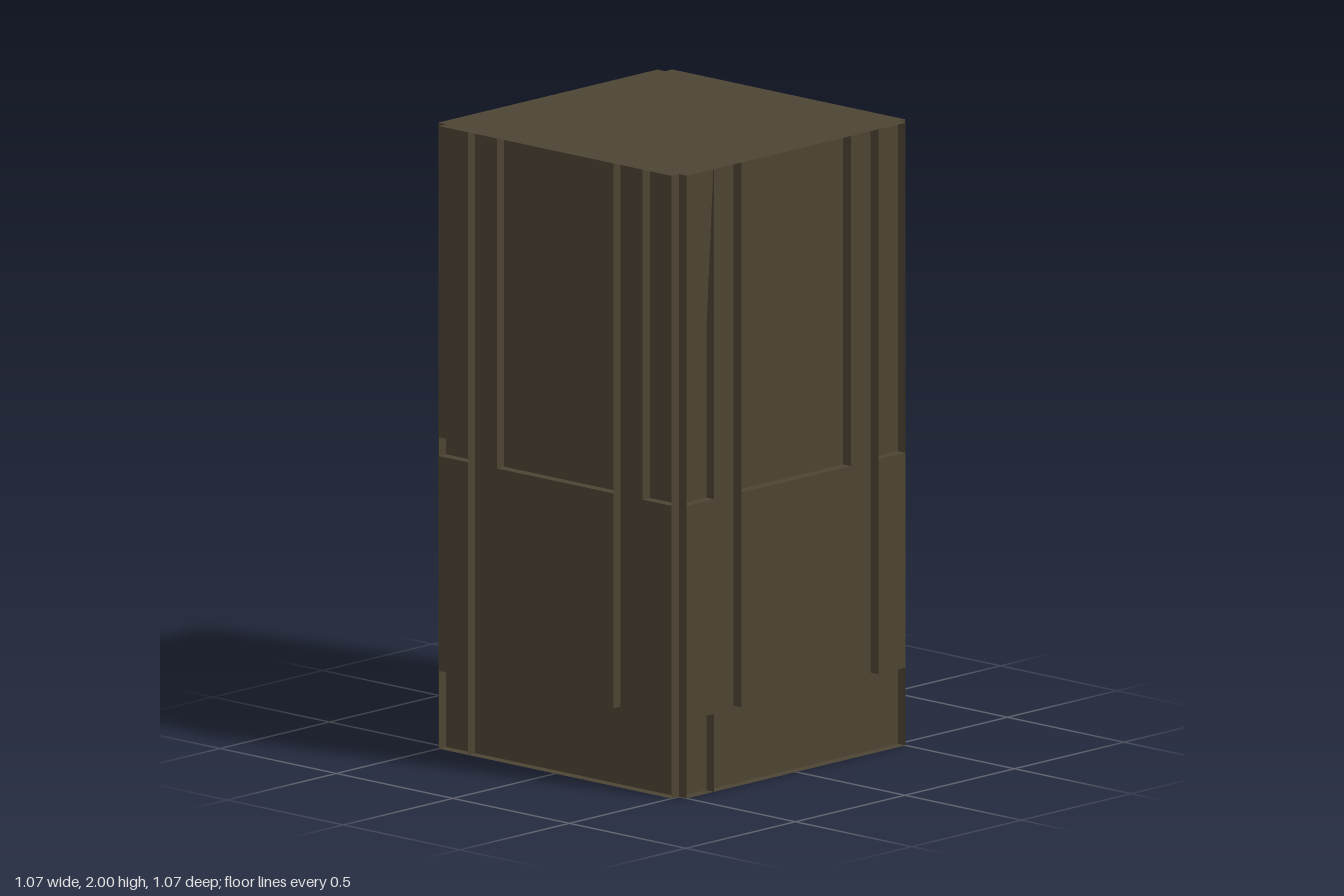
import * as THREE from 'three';

const CORE = 0.5;          // half width of the main block
const OUT = 0.533;         // half width to the face of the trim
const DEPTH = OUT - CORE;
const HEIGHT = 2;

const brown = new THREE.MeshStandardMaterial({ color: 0x4d4433 });
brown.name = 'darkBrown';
const brownThin = new THREE.MeshStandardMaterial({ color: 0x4d4433, side: THREE.DoubleSide });
brownThin.name = 'darkBrownThin';

function add(parent, name, geometry, material, x, y, z) {
  const mesh = new THREE.Mesh(geometry, material);
  mesh.name = name;
  mesh.position.set(x, y, z);
  parent.add(mesh);
  return mesh;
}

// Raised trim on one side of the block, built facing +z
function createSide() {
  const side = new THREE.Group();
  const mid = CORE + DEPTH / 2;

  // Lower panels: [left edge, right edge]
  const low = 0.25, high = 0.94;
  for (const [a, b] of [[-0.5, -0.375], [-0.25, 0.25], [0.375, 0.5]]) {
    add(side, 'lowerPanel', new THREE.BoxGeometry(b - a, high - low, DEPTH), brown,
      (a + b) / 2, (low + high) / 2, mid);
  }

  // Upright fins: [x, bottom]
  for (const [x, y0] of [[-0.5, 0], [-0.375, 0], [-0.25, high], [0.25, high], [0.375, high], [0.5, 0]]) {
    const fin = new THREE.PlaneGeometry(DEPTH, HEIGHT - y0).rotateY(Math.PI / 2);
    add(side, 'uprightFin', fin, brownThin, x, (HEIGHT + y0) / 2, mid);
  }

  // Thin lips along the top and bottom
  for (const [name, y, turn] of [['topLip', HEIGHT, -1], ['bottomLip', 0, 1]]) {
    const lip = new THREE.PlaneGeometry(2 * CORE, DEPTH).rotateX(turn * Math.PI / 2);
    add(side, name, lip, brownThin, 0, y, mid);
  }

  // Tapered upper plate
  const plate = new THREE.Shape([
    new THREE.Vector2(-0.5, 1), new THREE.Vector2(-0.44, 1),
    new THREE.Vector2(-0.378, HEIGHT), new THREE.Vector2(-0.5, HEIGHT),
  ]);
  add(side, 'taperedPlate', new THREE.ShapeGeometry(plate), brown, 0, 0, OUT);
  return side;
}

export function createModel() {
  const model = new THREE.Group();
  model.name = 'panelledPillar';

  // Main block
  add(model, 'mainBlock', new THREE.BoxGeometry(2 * CORE, HEIGHT, 2 * CORE), brown, 0, HEIGHT / 2, 0);

  // The same trim on all four sides
  ['frontTrim', 'leftTrim', 'backTrim', 'rightTrim'].forEach((name, i) => {
    const side = createSide();
    side.name = name;
    side.rotation.y = i * Math.PI / 2;
    model.add(side);
  });
  return model;
}
